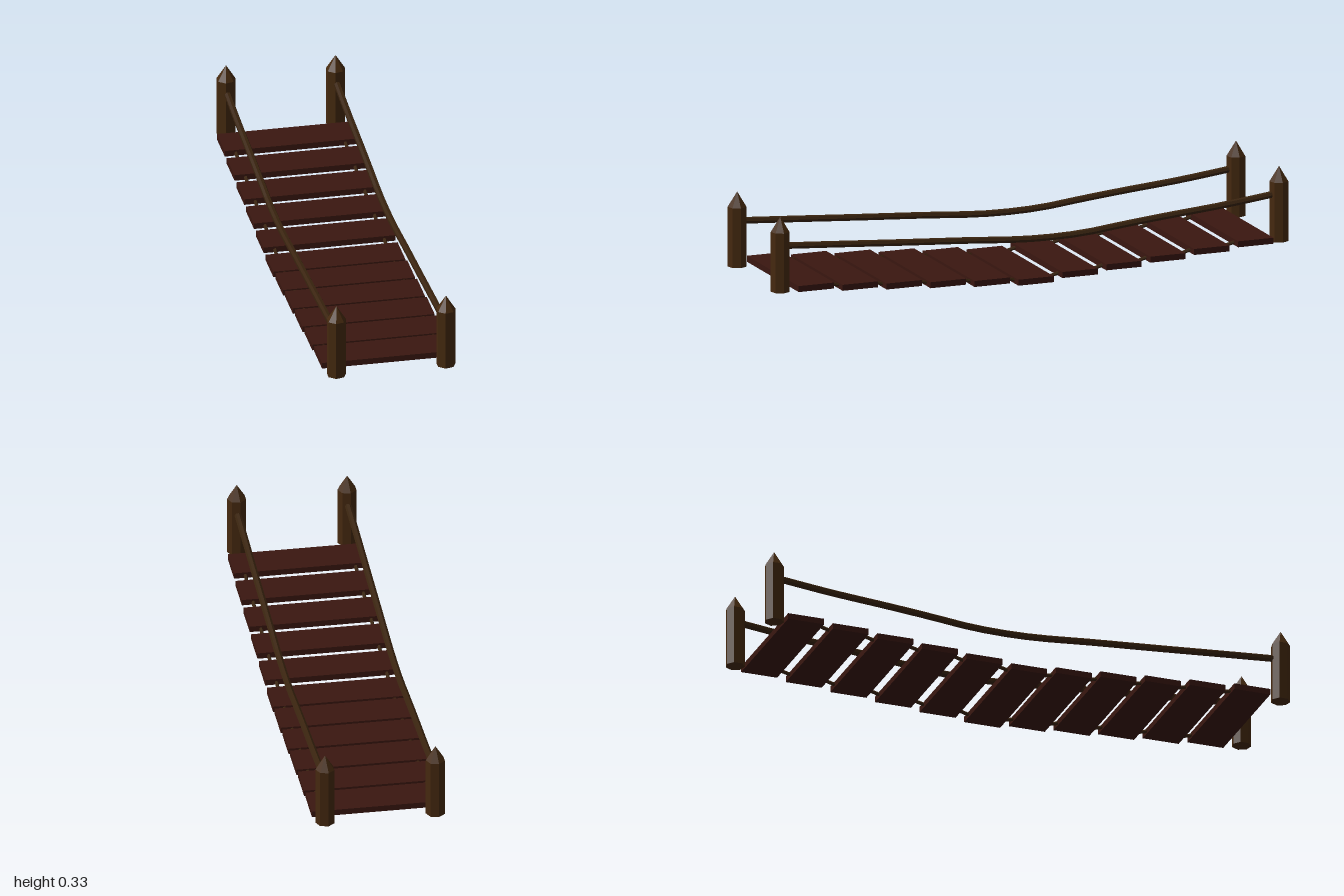
import * as THREE from 'three';

const mat = (color) => new THREE.MeshStandardMaterial({ color, flatShading: true, roughness: 0.9 });

export function createModel() {
  const bridge = new THREE.Group();
  bridge.name = 'ropeBridge';
  const plankMat = mat(0x3a1710), postMat = mat(0x45290f), ropeMat = mat(0x3a240f);

  const add = (geometry, material, name, x, y, z) => {
    const mesh = new THREE.Mesh(geometry, material);
    mesh.name = name;
    mesh.position.set(x, y, z);
    bridge.add(mesh);
    return mesh;
  };

  // Deck planks, stepping down to the middle
  const count = 11, depth = 0.137, thickness = 0.022;
  const plankGeo = new THREE.BoxGeometry(0.482, thickness, depth);
  const centres = [];
  for (let i = 0; i < count; i++) {
    const y = thickness / 2 + 0.0118 * Math.abs(i - 5);
    const z = -0.859 + 0.1702 * i;
    centres.push([y, z]);
    add(plankGeo, plankMat, 'plank', 0, y, z);
  }

  // Pointed seven-sided post: shaft and tip
  const shaftGeo = new THREE.CylinderGeometry(0.035, 0.035, 0.22, 7, 1, false, Math.PI / 2);
  const tipGeo = new THREE.ConeGeometry(0.035, 0.055, 7, 1, false, Math.PI / 2);

  // Sagging handrail rope
  const railCurve = new THREE.CatmullRomCurve3([
    [0.225, 0.965], [0.21, 0.75], [0.192, 0.5], [0.175, 0.25], [0.157, 0],
    [0.159, -0.2], [0.175, -0.36], [0.19, -0.52], [0.209, -0.75], [0.233, -0.965],
  ].map(([y, z]) => new THREE.Vector3(0, y, z)));
  const railGeo = new THREE.TubeGeometry(railCurve, 24, 0.0125, 7);

  for (const x of [-0.2, 0.2]) {
    for (const z of [-0.966, 0.966]) {
      add(shaftGeo, postMat, 'post', x, 0.168, z);
      add(tipGeo, postMat, 'postTip', x, 0.3055, z);
    }
    add(railGeo, ropeMat, 'handrailRope', x, 0, 0);

    // Short ropes tying each plank to the next
    for (let i = 0; i < count - 1; i++) {
      const [ya, za] = centres[i], [yb, zb] = centres[i + 1];
      const inset = depth / 2 - 0.006;
      const link = new THREE.LineCurve3(
        new THREE.Vector3(0, ya, za + inset), new THREE.Vector3(0, yb, zb - inset));
      add(new THREE.TubeGeometry(link, 1, 0.0065, 6), ropeMat, 'plankRope', x, 0, 0);
    }
  }
  return bridge;
}
